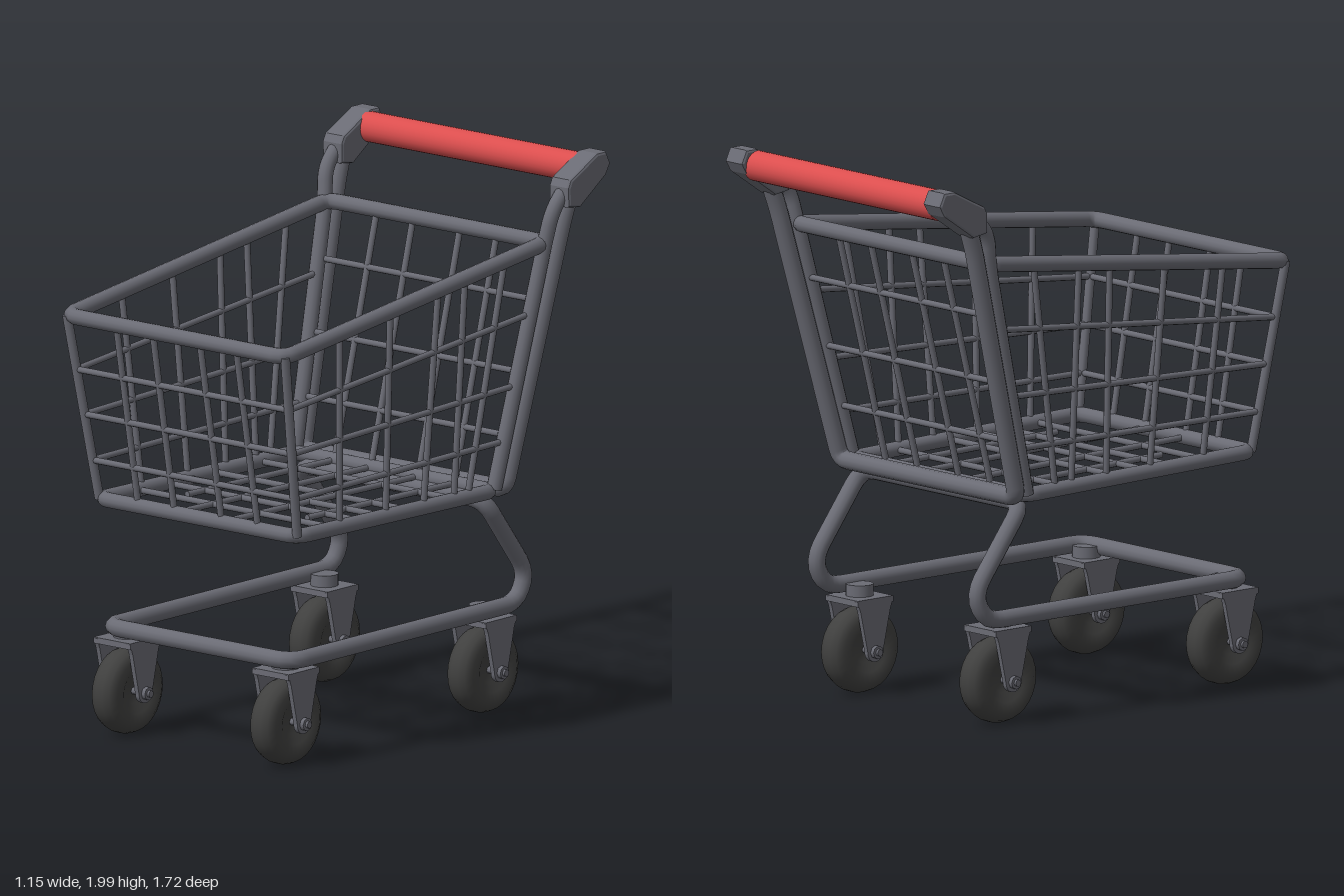
import * as THREE from 'three';

const V = (x, y, z) => new THREE.Vector3(x, y, z);
const material = (name, color) => {
  const m = new THREE.MeshStandardMaterial({ color });
  m.name = name;
  return m;
};

// Polyline with rounded corners, as a curve
function roundedPath(points, bend, closed) {
  const path = new THREE.CurvePath();
  const n = points.length;
  const cut = (a, b) => a.clone().lerp(b, Math.min(0.45, bend / a.distanceTo(b)));
  const first = closed ? cut(points[0], points[1]) : points[0];
  let from = first;
  const last = closed ? n : n - 2;
  for (let i = 1; i <= last; i++) {
    const p = points[i % n], enter = cut(p, points[i - 1]), leave = cut(p, points[(i + 1) % n]);
    path.add(new THREE.LineCurve3(from, enter));
    path.add(new THREE.QuadraticBezierCurve3(enter, p, leave));
    from = leave;
  }
  if (!closed) path.add(new THREE.LineCurve3(from, points[n - 1]));
  return path;
}

export function createModel() {
  const model = new THREE.Group();
  model.name = 'shoppingCart';
  const steel = material('steel grey', 0x6a6b74);
  const rubber = material('dark rubber', 0x40403f);
  const red = material('handle red', 0xdb4e4e);

  const add = (name, geometry, mat, parent = model) => {
    const mesh = new THREE.Mesh(geometry, mat);
    mesh.name = name;
    parent.add(mesh);
    return mesh;
  };
  const tube = (name, points, radius, bend = 0.06, closed = false) =>
    add(name, new THREE.TubeGeometry(roundedPath(points, bend, closed), 180, radius, 12, closed), steel);
  const rod = (name, a, b, radius = 0.012, parent = model) => {
    const mesh = add(name, new THREE.CylinderGeometry(radius, radius, a.distanceTo(b), 8), steel, parent);
    mesh.position.copy(a).lerp(b, 0.5);
    mesh.quaternion.setFromUnitVectors(V(0, 1, 0), b.clone().sub(a).normalize());
    return mesh;
  };

  // Basket corners on the +x side; the other side is mirrored
  const topFront = V(0.51, 1.525, 0.825), topBack = V(0.51, 1.695, -0.59);
  const lowFront = V(0.462, 0.845, 0.705), lowBack = V(0.462, 0.825, -0.36);
  const flip = (p, s) => V(p.x * s, p.y, p.z);
  const loop = (f, b) => [f, b, flip(b, -1), flip(f, -1)];
  const atZ = (f, b, z) => f.clone().lerp(b, (f.z - z) / (f.z - b.z));

  // Basket rims
  tube('basketTopRim', loop(topFront, topBack), 0.029, 0.05, true);
  tube('basketBottomRim', loop(lowFront, lowBack), 0.028, 0.05, true);

  // Basket wires
  const cage = new THREE.Group();
  cage.name = 'basketWires';
  model.add(cage);
  const frontRows = [0.21, 0.46, 0.705], sideBackRows = [0.2, 0.425, 0.715], backRows = [0.225, 0.48, 0.77];
  const sideColumns = [[0.475, 0.53], [0.225, 0.255], [0.02, -0.005], [-0.145, -0.15], [-0.22, -0.365]];
  for (const s of [1, -1]) {
    rod('frontCornerWire', flip(lowFront, s), flip(topFront, s), 0.017, cage);
    for (const [low, high] of sideColumns)
      rod('sideColumnWire', flip(atZ(lowFront, lowBack, low), s), flip(atZ(topFront, topBack, high), s), 0.012, cage);
    frontRows.forEach((t, i) => rod('sideRowWire',
      flip(lowFront.clone().lerp(topFront, t), s), flip(lowBack.clone().lerp(topBack, sideBackRows[i]), s), 0.012, cage));
  }
  for (const t of frontRows) {
    const p = lowFront.clone().lerp(topFront, t);
    rod('frontRowWire', p, flip(p, -1), 0.012, cage);
  }
  for (const t of backRows) {
    const p = lowBack.clone().lerp(topBack, t);
    rod('backRowWire', p, flip(p, -1), 0.012, cage);
  }
  for (const x of [-0.28, -0.11, 0.11, 0.28]) {
    const at = (p) => V(x, p.y, p.z);
    rod('frontColumnWire', at(lowFront), at(topFront), 0.012, cage);
    rod('backColumnWire', at(lowBack), at(topBack), 0.012, cage);
    const end = Math.abs(x) > 0.2 ? atZ(lowFront, lowBack, 0.44) : lowFront;
    rod('floorLongWire', at(lowBack), at(end), 0.012, cage);
  }
  for (const z of [0.5, 0.345, 0.23, 0.09, -0.16]) {
    const p = atZ(lowFront, lowBack, z);
    rod('floorCrossWire', p, flip(p, -1), 0.012, cage);
  }

  // Rear posts: an inner pair and an outer U, both reaching the handle
  for (const s of [1, -1])
    tube('innerPost', [V(0.465, 0.83, -0.36), V(0.512, 1.68, -0.575), V(0.53, 1.81, -0.6), V(0.53, 1.9, -0.69)]
      .map((p) => flip(p, s)), 0.028, 0.05);
  const outer = [V(0.53, 1.87, -0.7), V(0.525, 1.76, -0.66), V(0.472, 0.825, -0.41)];
  tube('outerPostFrame', [...outer, ...outer.map((p) => flip(p, -1)).reverse()], 0.033, 0.04);

  // Undercarriage: rear legs running into the lower frame
  const leg = [V(0.43, 0.79, -0.345), V(0.43, 0.49, -0.575), V(0.43, 0.385, -0.52), V(0.43, 0.385, 0.7)];
  tube('lowerFrame', [...leg, ...leg.map((p) => flip(p, -1)).reverse()], 0.032, 0.07, true);

  // Handle bar and end caps
  const bar = add('handleBar', new THREE.CylinderGeometry(0.055, 0.055, 0.99, 24), red);
  bar.rotation.z = Math.PI / 2;
  bar.position.set(0, 1.93, -0.79);
  const capShape = new THREE.Shape([[0.647, 1.83], [0.7, 1.822], [0.835, 1.913], [0.854, 1.945], [0.836, 1.982],
    [0.795, 1.982], [0.657, 1.912], [0.646, 1.89]].map(([x, y]) => new THREE.Vector2(x, y)));
  const capGeometry = new THREE.ExtrudeGeometry(capShape,
    { depth: 0.07, bevelThickness: 0.012, bevelSize: 0.01, bevelSegments: 2 });
  capGeometry.rotateY(Math.PI / 2);
  for (const x of [0.495, -0.565]) add('handleEndCap', capGeometry, steel).position.x = x;

  // Casters
  const half = [[0, 0.028], [0.045, 0.03], [0.08, 0.052], [0.12, 0.057], [0.146, 0.04], [0.156, 0.015]];
  const profile = [...half.map(([r, h]) => new THREE.Vector2(r, -h)),
    ...half.map(([r, h]) => new THREE.Vector2(r, h)).reverse()];
  const wheelGeometry = new THREE.LatheGeometry(profile, 28).rotateZ(Math.PI / 2);
  const forkShape = new THREE.Shape();
  forkShape.moveTo(-0.085, 0.19);
  forkShape.lineTo(-0.07, 0.15);
  forkShape.lineTo(-0.036, 0.0);
  forkShape.absarc(0, 0, 0.036, Math.PI, Math.PI * 2, false);
  forkShape.lineTo(0.07, 0.15);
  forkShape.lineTo(0.085, 0.19);
  const forkGeometry = new THREE.ExtrudeGeometry(forkShape, { depth: 0.018, bevelEnabled: false });
  forkGeometry.rotateY(Math.PI / 2);
  for (const x of [0.37, -0.37]) for (const z of [0.66, -0.41]) {
    const caster = new THREE.Group();
    caster.name = 'caster';
    caster.position.set(x, 0.156, z);
    model.add(caster);
    add('wheel', wheelGeometry, rubber, caster);
    for (const px of [0.068, -0.086]) add('forkPlate', forkGeometry, steel, caster).position.x = px;
    add('forkTop', new THREE.BoxGeometry(0.172, 0.022, 0.168), steel, caster).position.y = 0.182;
    const swivel = add('swivel', new THREE.CylinderGeometry(0.05, 0.05, 0.05, 16), steel, caster);
    swivel.position.y = 0.21;
    rod('axle', V(-0.112, 0, 0), V(0.112, 0, 0), 0.013, caster);
    for (const s of [1, -1]) rod('axleNut', V(0.084 * s, 0, 0), V(0.102 * s, 0, 0), 0.024, caster);
  }
  return model;
}
